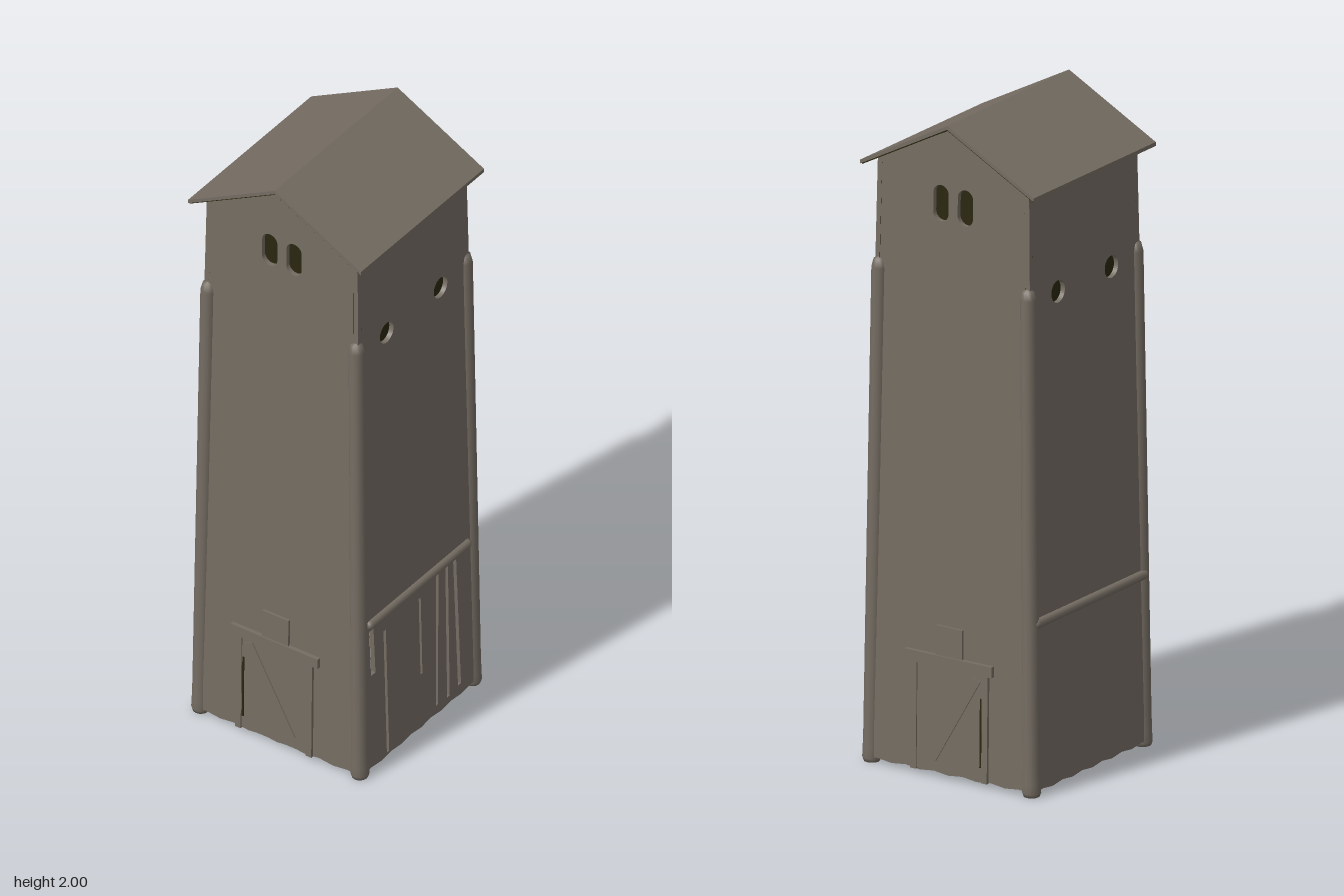
import * as THREE from 'three';

const mat = (name, color, side = THREE.FrontSide) => {
  const m = new THREE.MeshStandardMaterial({ color, side });
  m.name = name;
  return m;
};

// Half sizes of the tapering tower at height y
const halfX = y => 0.3 - 0.0147 * y;
const halfZ = y => 0.3 - 0.018 * y;

const poly = pts => new THREE.Shape(pts.map(p => new THREE.Vector2(...p)));
const rect = (x0, x1, y0, y1) => poly([[x0, y0], [x1, y0], [x1, y1], [x0, y1]]);

// Pill outline; it becomes a circle when the straight part is zero
function pill(x, y, r, straight) {
  const s = new THREE.Shape();
  s.absarc(x, y + straight, r, 0, Math.PI, false);
  s.absarc(x, y - straight, r, Math.PI, Math.PI * 2, false);
  return s;
}

export function createModel() {
  const group = new THREE.Group();
  const timber = mat('weathered timber', 0x756d63);
  const dark = mat('dark interior', 0x29270f, THREE.DoubleSide);

  const add = (geo, material, name, parent = group) => {
    const mesh = new THREE.Mesh(geo, material);
    mesh.name = name;
    parent.add(mesh);
    return mesh;
  };

  // Lays an outline on one leaning side: 0 front, 1 +x, 2 back, 3 -x
  function panel(shape, side, offset, depth, material, name) {
    const geo = depth
      ? new THREE.ExtrudeGeometry(shape, { depth, bevelEnabled: false, curveSegments: 10 })
      : new THREE.ShapeGeometry(shape);
    const half = side % 2 ? halfX : halfZ;
    const p = geo.attributes.position;
    for (let i = 0; i < p.count; i++) p.setZ(i, p.getZ(i) + half(p.getY(i)) + offset);
    geo.computeVertexNormals();
    geo.rotateY(side * Math.PI / 2);
    return add(geo, material, name);
  }

  // Wall outline with a slightly uneven foot; peak adds a gable
  function wallOutline(half, peak, base = 0.012) {
    const pts = [];
    for (let i = 0; i <= 12; i++) {
      pts.push([half(0) * (i / 6 - 1), base + (i % 2 ? 0.006 : 0)]);
    }
    pts.push([half(1.845), 1.845]);
    if (peak) pts.push([0, 1.98]);
    pts.push([-half(1.845), 1.845]);
    return poly(pts);
  }

  // Gaps between the front planks: x at foot, x at top, foot, top, width
  const gaps = [
    [-0.232, -0.238, 0.34, 0.5, 0.022], [-0.166, -0.172, 0.025, 0.46, 0.012],
    [0.006, 0.004, 0.2, 0.47, 0.01], [0.08, 0.092, 0.045, 0.5, 0.012],
    [0.137, 0.14, 0.04, 0.5, 0.013], [0.193, 0.18, 0.05, 0.5, 0.015],
  ];

  for (let side = 0; side < 4; side++) {
    const gable = side % 2 === 1;
    const wall = wallOutline(gable ? halfZ : halfX, gable);
    if (gable) {
      for (const x of [-0.043, 0.043]) wall.holes.push(pill(x, 1.747, 0.027, 0.028));
    } else {
      for (const x of [-0.135, 0.135]) wall.holes.push(pill(x, 1.5, 0.034, 0));
    }
    if (side === 0) {
      for (const [a, b, y0, y1, w] of gaps) {
        wall.holes.push(poly([[a - w / 2, y0], [a + w / 2, y0], [b + w / 2, y1], [b - w / 2, y1]]));
      }
    }
    panel(wall, side, -0.015, 0.015, timber, gable ? 'gableWall' : 'wall');
    // Dark lining closes the window openings from within
    const lining = wallOutline(gable ? halfZ : halfX, gable, side === 0 ? 0.52 : 0.02);
    panel(lining, side, -0.016, 0, dark, 'lining');
  }

  // Rounded horizontal rails over the front planks and across the back
  for (const [x0, x1, dir] of [[-0.26, 0.255, 1], [-0.285, 0.285, -1]]) {
    const rail = add(new THREE.CapsuleGeometry(0.015, x1 - x0 - 0.03, 4, 10), timber, 'rail');
    rail.rotation.z = Math.PI / 2;
    rail.position.set((x0 + x1) / 2, 0.525, dir * (halfZ(0.525) + 0.001));
  }

  // Leaning corner posts with a swollen foot and rounded top
  const up = new THREE.Vector3(0, 1, 0);
  const profile = [[0, 0], [0.024, 0], [0.028, 0.012], [0.027, 0.04], [0.026, 0.1],
    [0.024, 1.51], [0.018, 1.535], [0, 1.547]].map(p => new THREE.Vector2(...p));
  for (const sx of [-1, 1]) {
    for (const sz of [-1, 1]) {
      const foot = new THREE.Vector3(sx * 0.282, 0, sz * 0.282);
      const top = new THREE.Vector3(sx * 0.27, 1.547, sz * 0.262);
      const post = add(new THREE.LatheGeometry(profile, 12), timber, 'cornerPost');
      post.position.copy(foot);
      post.quaternion.setFromUnitVectors(up, top.sub(foot).normalize());
    }
  }

  // Planked doors on both gable sides
  for (const side of [1, 3]) {
    const s = side === 1 ? 1 : -1;
    const flip = pts => poly(pts.map(([x, y]) => [x * s, y]));
    const box = (a, b, y0, y1) => flip([[a, y0], [b, y0], [b, y1], [a, y1]]);
    panel(box(-0.115, 0.13, 0.02, 0.345), side, 0, 0.005, timber, 'doorLeaf');
    for (const x of [-0.118, 0.132]) {
      panel(box(x - 0.01, x + 0.01, 0.015, 0.345), side, 0, 0.009, timber, 'doorJamb');
    }
    panel(box(-0.15, 0.158, 0.342, 0.375), side, 0, 0.013, timber, 'doorLintel');
    panel(box(-0.042, 0.05, 0.375, 0.465), side, 0, 0.008, timber, 'doorHead');
    panel(flip([[-0.07, 0.06], [-0.04, 0.05], [0.115, 0.32], [0.085, 0.335]]),
      side, 0.005, 0.004, timber, 'doorBrace');
    panel(box(0.114, 0.12, 0.06, 0.27), side, 0.005, 0.002, dark, 'doorGap');
  }

  // Gabled roof with a dark underside
  const chevron = (top, thick, reach) => poly([
    [-reach, top - reach * 0.53], [0, top], [reach, top - reach * 0.53],
    [reach, top - reach * 0.53 - thick], [0, top - thick], [-reach, top - reach * 0.53 - thick],
  ]);
  for (const [top, thick, reach, length, material, name] of [
    [2, 0.012, 0.306, 0.618, timber, 'roof'],
    [1.988, 0.004, 0.302, 0.612, dark, 'roofUnderside'],
  ]) {
    const geo = new THREE.ExtrudeGeometry(chevron(top, thick, reach),
      { depth: length, bevelEnabled: false });
    geo.translate(0, 0, -length / 2);
    geo.rotateY(Math.PI / 2);
    add(geo, material, name).position.x = -0.003;
  }

  return group;
}
